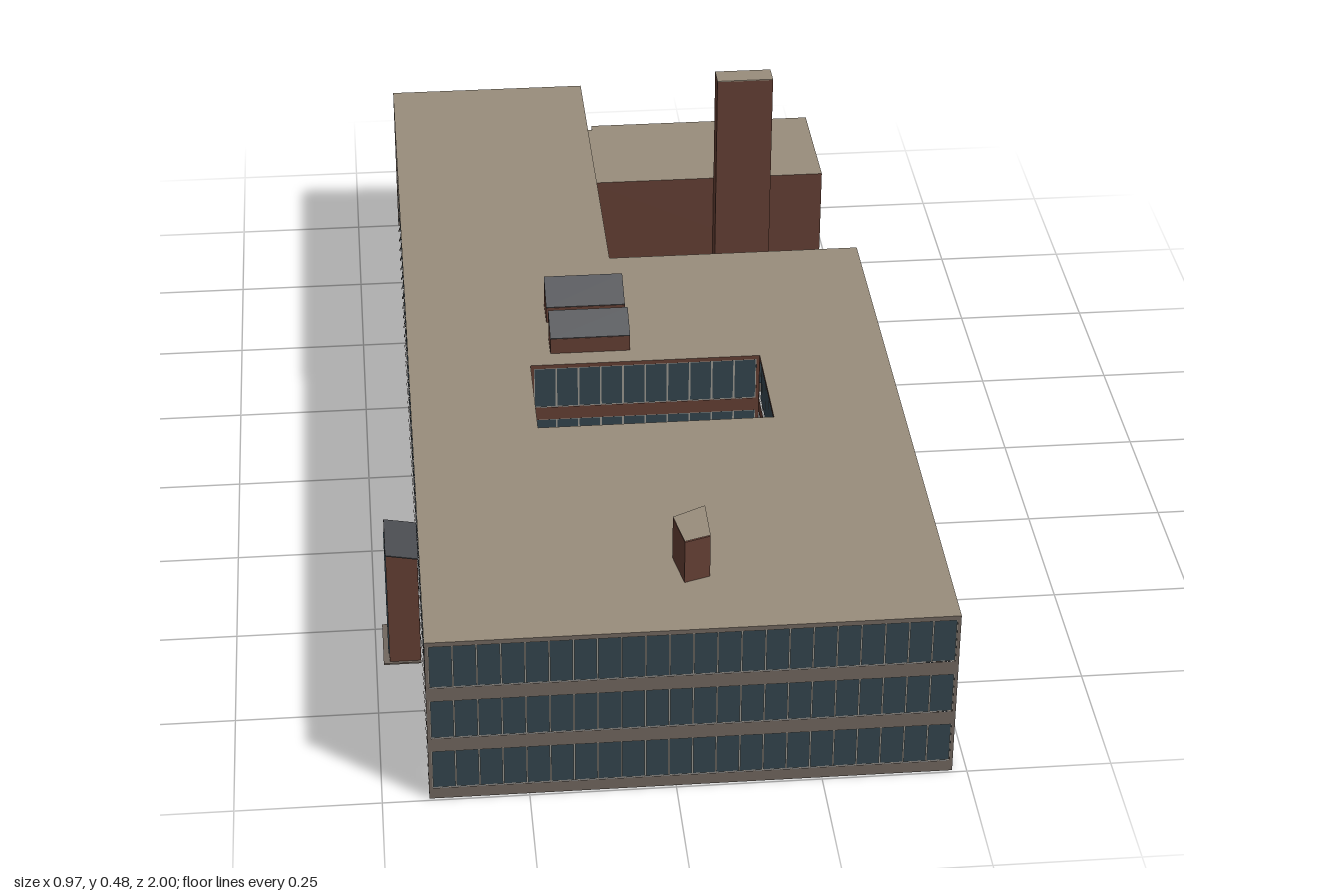
import * as THREE from 'three';
import { mergeGeometries } from 'three/addons/utils/BufferGeometryUtils.js';

const mat = (color) => new THREE.MeshStandardMaterial({ color, side: THREE.DoubleSide });
const MAT = {
  roof: mat(0x998d7c), brick: mat(0x643f34), brown: mat(0x5c4a3e), band: mat(0x71675f),
  glass: mat(0x34444e), frame: mat(0x9a978f), slate: mat(0x4a4c50),
};
const H = 0.325, WING_H = 0.23;
const FLOORS = [[0.022, 0.1], [0.127, 0.205], [0.232, 0.317]];
const LOW_FLOORS = [[0.025, 0.085], [0.127, 0.19], [0.232, 0.3]];

function add(group, name, geometry, material) {
  const mesh = new THREE.Mesh(geometry, material);
  mesh.name = name;
  group.add(mesh);
  return mesh;
}

function rectPath(x0, y0, x1, y1, Type = THREE.Path) {
  const p = new Type();
  p.moveTo(x0, y0);
  p.lineTo(x1, y0);
  p.lineTo(x1, y1);
  p.lineTo(x0, y1);
  p.closePath();
  return p;
}

// Horizontal slab surface from plan corners [x, z], with optional rectangular hole
function flatRoof(corners, y, hole) {
  const shape = new THREE.Shape(corners.map(([x, z]) => new THREE.Vector2(x, -z)));
  if (hole) shape.holes.push(rectPath(hole[0], -hole[3], hole[2], -hole[1]));
  return new THREE.ShapeGeometry(shape).rotateX(-Math.PI / 2).translate(0, y, 0);
}

// Pane spans along a wall: an even ribbon, or alternating wide and narrow windows
function panes(length, punched) {
  const list = [];
  const margin = 0.006;
  const count = Math.max(1, Math.round((length - 2 * margin) / (punched ? 0.115 : 0.0405)));
  const pitch = (length - 2 * margin) / count;
  for (let i = 0; i < count; i++) {
    const s = margin + i * pitch;
    if (punched) {
      list.push([s + pitch * 0.05, s + pitch * 0.6], [s + pitch * 0.7, s + pitch * 0.95]);
    } else list.push([s, s + pitch]);
  }
  return list;
}

// One facade from plan point a to b; outside lies to the right of travel
function facade(parent, name, a, b, { material = MAT.band, height = H, floors = FLOORS, punched = false } = {}) {
  const g = new THREE.Group();
  g.name = name;
  const dx = b[0] - a[0], dz = b[1] - a[1], len = Math.hypot(dx, dz);
  const wall = rectPath(0, 0, len, height, THREE.Shape);
  const glass = [], frames = [];
  const spans = panes(len, punched);
  const t = 0.0016;
  for (const [y0, y1] of floors) {
    if (!punched) wall.holes.push(rectPath(0.006, y0, len - 0.006, y1));
    for (const [s, e] of spans) {
      if (punched) wall.holes.push(rectPath(s, y0, e, y1));
      const f = rectPath(s, y0, e, y1, THREE.Shape);
      f.holes.push(rectPath(s + t, y0 + t, e - t, y1 - t));
      frames.push(new THREE.ShapeGeometry(f).translate(0, 0, -0.001));
      glass.push(new THREE.PlaneGeometry(e - s, y1 - y0).translate((s + e) / 2, (y0 + y1) / 2, -0.003));
    }
  }
  add(g, 'wall', new THREE.ShapeGeometry(wall), material);
  if (glass.length) {
    add(g, 'windowGlass', mergeGeometries(glass), MAT.glass);
    add(g, 'windowFrames', mergeGeometries(frames), MAT.frame);
  }
  g.position.set(a[0], 0, a[1]);
  g.rotation.y = Math.atan2(-dz, dx);
  parent.add(g);
}

function box(group, name, x0, x1, y0, y1, z0, z1, material) {
  const m = add(group, name, new THREE.BoxGeometry(x1 - x0, y1 - y0, z1 - z0), material);
  m.position.set((x0 + x1) / 2, (y0 + y1) / 2, (z0 + z1) / 2);
  return m;
}

function mainBlock() {
  const g = new THREE.Group();
  g.name = 'mainBlock';
  const court = [-0.19, 0.14, 0.24, 0.355];
  add(g, 'mainRoof', flatRoof(
    [[-0.42, 0.995], [0.475, 0.995], [0.48, -0.25], [-0.01, -0.25], [-0.01, -1], [-0.413, -1]], H, court), MAT.roof);
  const side = { material: MAT.brown, floors: LOW_FLOORS, punched: true };
  facade(g, 'frontFacade', [-0.42, 0.995], [0.475, 0.995]);
  facade(g, 'leftFacade', [0.475, 0.995], [0.48, -0.25], side);
  facade(g, 'innerRearFacade', [0.48, -0.25], [-0.01, -0.25]);
  facade(g, 'innerLeftFacade', [-0.01, -0.25], [-0.01, -0.735], { material: MAT.brown, floors: LOW_FLOORS });
  facade(g, 'partyWall', [-0.01, -0.735], [-0.01, -1], { material: MAT.brick, floors: [] });
  facade(g, 'rearFacade', [-0.01, -1], [-0.413, -1]);
  facade(g, 'rightRearFacade', [-0.413, -1], [-0.416, -0.35]);
  facade(g, 'rightFrontFacade', [-0.416, -0.35], [-0.42, 0.995], { material: MAT.brown });

  // Courtyard walls face into the opening
  const [x0, z0, x1, z1] = court;
  const loop = [[x0, z0], [x1, z0], [x1, z1], [x0, z1]];
  loop.forEach((p, i) => facade(g, 'courtyardFacade', p, loop[(i + 1) % 4], { material: MAT.brick }));
  return g;
}

function rearWing() {
  const g = new THREE.Group();
  g.name = 'rearWing';
  const plan = [[-0.01, -0.735], [0.48, -0.735], [0.48, -0.993], [0.012, -0.993], [0.012, -0.975], [-0.01, -0.975]];
  add(g, 'wingRoof', flatRoof(plan, WING_H), MAT.roof);
  const low = { height: WING_H, floors: FLOORS.slice(0, 2) };
  const plain = { height: WING_H, floors: [], material: MAT.brick };
  facade(g, 'wingFrontWall', plan[0], plan[1], plain);
  facade(g, 'wingLeftFacade', plan[1], plan[2], { ...low, floors: LOW_FLOORS.slice(0, 2), material: MAT.brown, punched: true });
  facade(g, 'wingRearFacade', plan[2], plan[3], low);
  facade(g, 'recessSide', plan[3], plan[4], plain);
  facade(g, 'recessBack', plan[4], plan[5], plain);

  // Chimney standing against the wing
  box(g, 'chimney', 0.25, 0.365, 0, 0.478, -0.735, -0.69, MAT.brick);
  box(g, 'chimneyCap', 0.25, 0.365, 0.478, 0.48, -0.735, -0.69, MAT.roof);
  return g;
}

// Wedge skylight: low front edge, glazing rising to the rear
function skylight(zFront, zBack, top) {
  const g = new THREE.Group();
  g.name = 'skylight';
  const low = 0.356, w = 0.15;
  const profile = new THREE.Shape([[-zFront, H], [-zBack, H], [-zBack, top], [-zFront, low]]
    .map(([x, y]) => new THREE.Vector2(x, y)));
  add(g, 'skylightBody', new THREE.ExtrudeGeometry(profile, { depth: w, bevelEnabled: false })
    .rotateY(Math.PI / 2).translate(-0.15, 0, 0), MAT.brick);
  const run = zFront - zBack, rise = top - low;
  const pane = add(g, 'skylightPane', new THREE.BoxGeometry(w, 0.002, Math.hypot(run, rise)), MAT.slate);
  pane.position.set(-0.075, (low + top) / 2 + 0.001, (zFront + zBack) / 2);
  pane.rotation.x = Math.atan2(rise, run);
  return g;
}

function roofHut() {
  const g = new THREE.Group();
  g.name = 'roofHut';
  const plan = [[0.012, 0.785], [0.025, 0.86], [0.07, 0.845], [0.07, 0.755]];
  const shape = new THREE.Shape(plan.map(([x, z]) => new THREE.Vector2(x, -z)));
  add(g, 'hutWalls', new THREE.ExtrudeGeometry(shape, { depth: 0.082, bevelEnabled: false })
    .rotateX(-Math.PI / 2).translate(0, H, 0), MAT.brick);
  add(g, 'hutRoof', flatRoof(plan, 0.409), MAT.roof);
  return g;
}

function entranceTower() {
  const g = new THREE.Group();
  g.name = 'entranceTower';
  const profile = new THREE.Shape([[-0.42, 0], [-0.42, 0.223], [-0.476, 0.233], [-0.476, 0]]
    .map(([x, y]) => new THREE.Vector2(x, y)));
  add(g, 'towerBody', new THREE.ExtrudeGeometry(profile, { depth: 0.11, bevelEnabled: false })
    .translate(0, 0, 0.495), MAT.brick);
  const top = box(g, 'towerRoof', -0.477, -0.418, 0.228, 0.23, 0.493, 0.607, MAT.slate);
  top.rotation.z = -Math.atan2(0.01, 0.056);
  for (const [y0, y1] of [[0.015, 0.105], [0.115, 0.215]]) {
    for (let i = 0; i < 2; i++) {
      const z = 0.503 + i * 0.049;
      box(g, 'towerOuterPane', -0.478, -0.475, y0, y1, z, z + 0.045, MAT.glass);
    }
    box(g, 'towerRearPane', -0.47, -0.426, y0, y1, 0.493, 0.496, MAT.glass);
  }
  box(g, 'doorStep', -0.487, -0.42, 0, 0.003, 0.49, 0.61, MAT.band);
  return g;
}

export function createModel() {
  const model = new THREE.Group();
  model.name = 'officeBuilding';
  model.add(mainBlock(), rearWing(), skylight(0.1, 0.045, 0.385), skylight(-0.015, -0.077, 0.388),
    roofHut(), entranceTower());
  return model;
}
